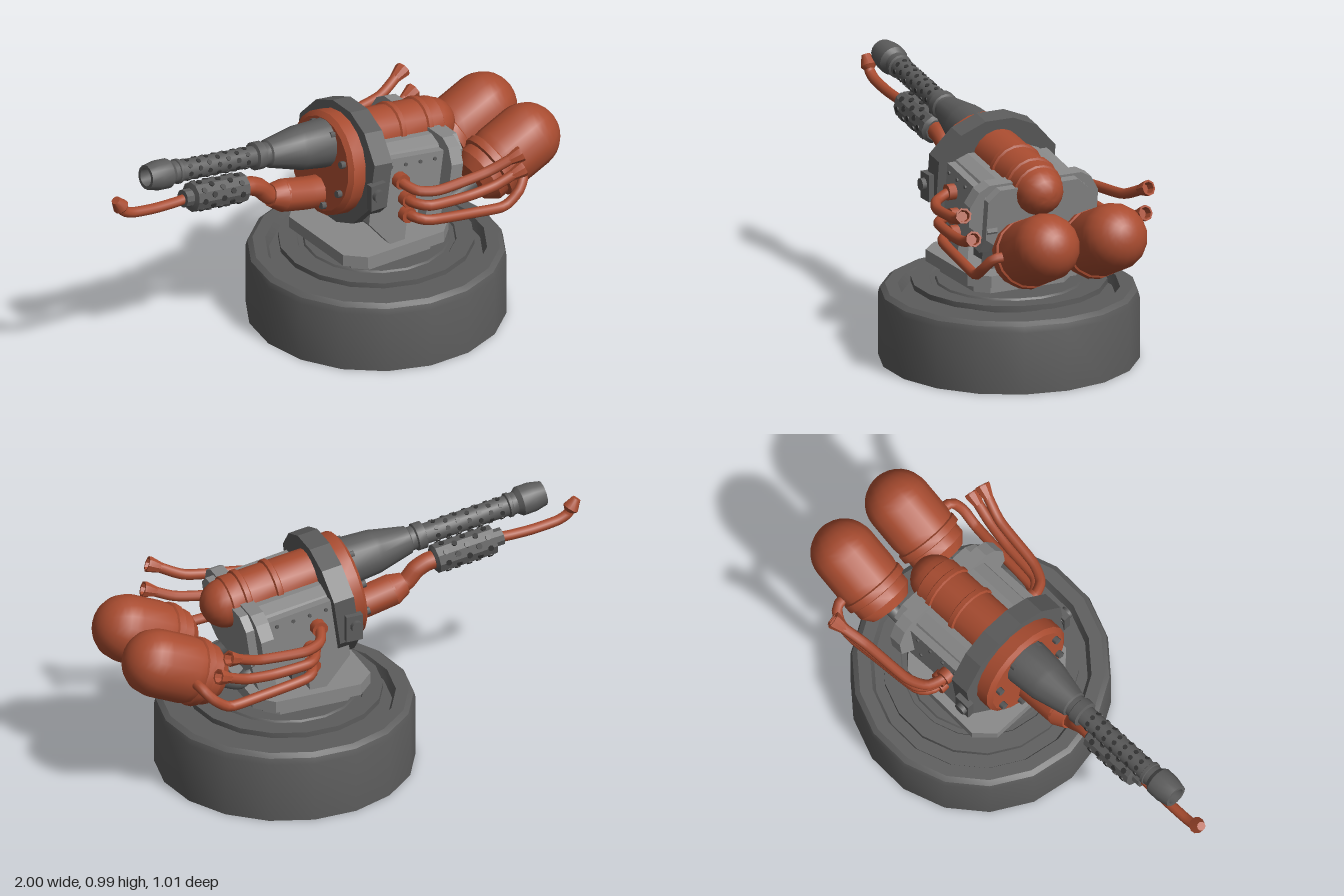
import * as THREE from 'three';
import { toCreasedNormals } from 'three/addons/utils/BufferGeometryUtils.js';

const mat = (name, color) => Object.assign(new THREE.MeshStandardMaterial({ color }), { name });
const V = (x, y, z = 0) => new THREE.Vector3(x, y, z);
const UP = V(0, 1, 0);

export function createModel() {
  const rust = mat('rust orange', 0xa94c30);
  const steel = mat('light steel', 0x888888);
  const dark = mat('dark steel', 0x5c5c5c);
  const hole = mat('hole black', 0x363636);

  const model = new THREE.Group();
  const add = (parent, name, geo, material) => {
    const m = new THREE.Mesh(geo, material);
    m.name = name;
    parent.add(m);
    return m;
  };
  // Turned part from [radius, height] pairs, bottom to top
  const turned = (pts, segs = 16, start = 0) => toCreasedNormals(
    new THREE.LatheGeometry(pts.map(p => new THREE.Vector2(...p)), segs, start), 0.6);
  // The same, with its axis along +x
  const turnedX = (pts, segs) => turned(pts, segs).rotateZ(-Math.PI / 2);
  const outline = pts => new THREE.Shape(pts.map(p => new THREE.Vector2(...p)));
  const extrude = (pts, depth) => new THREE.ExtrudeGeometry(outline(pts), { depth, bevelEnabled: false });
  // Symmetric half outline [z, y] (top to bottom) extruded along x
  const prismX = (half, x0, x1) => extrude(
    [...half, ...half.slice().reverse().map(([a, b]) => [-a, b])].reverse(), x1 - x0)
    .rotateY(Math.PI / 2).translate(x0, 0, 0);
  const tube = (pts, r) => new THREE.TubeGeometry(
    new THREE.CatmullRomCurve3(pts, false, 'catmullrom', 0.35), 28, r, 10);
  const aim = (mesh, from, dir) => {
    mesh.position.copy(from);
    mesh.quaternion.setFromUnitVectors(UP, dir.clone().normalize());
    return mesh;
  };

  // Round base with a recessed top, turntable and pedestal
  const base = new THREE.Group();
  base.name = 'base';
  base.position.x = 0.255;
  model.add(base);
  add(base, 'baseDrum', turned([[0, 0], [0.512, 0], [0.512, 0.25], [0.505, 0.275], [0.485, 0.29],
    [0.435, 0.29], [0.42, 0.25], [0, 0.25]], 18, Math.PI / 2), dark);
  add(base, 'turntableHub', turned([[0.24, 0.25], [0.24, 0.302]], 18, Math.PI / 2), dark);
  add(base, 'turntable', turned([[0, 0.3], [0.385, 0.3], [0.385, 0.322], [0.315, 0.322], [0.31, 0.314],
    [0.29, 0.314], [0.285, 0.322], [0, 0.322]], 18, Math.PI / 2), dark);
  const slab = (hx, hz, c, y0, y1) => extrude([[hx, hz - c], [hx - c, hz], [c - hx, hz], [-hx, hz - c],
    [-hx, c - hz], [c - hx, -hz], [hx - c, -hz], [hx, c - hz]], y1 - y0)
    .rotateX(-Math.PI / 2).translate(-0.035, y0, 0);
  add(base, 'pedestal', slab(0.195, 0.21, 0.05, 0.32, 0.365), steel);
  add(base, 'pedestalPlate', slab(0.25, 0.255, 0.07, 0.362, 0.41), steel);

  // Side cheeks, pivots and small brackets
  for (const s of [1, -1]) {
    const cheek = extrude([[0.1, 0.8], [0.07, 0.53], [0.17, 0.41], [0.24, 0.41], [0.25, 0.49],
      [0.3, 0.53], [0.43, 0.5], [0.5, 0.6], [0.48, 0.74]], 0.045);
    add(model, 'sideCheek', cheek.translate(0, 0, s * 0.195 - 0.0225), steel);
    const foot = extrude([[0.36, 0.42], [0.44, 0.43], [0.47, 0.54], [0.39, 0.54]], 0.05);
    add(model, 'rearBracket', foot.translate(0, 0, s * 0.15 - 0.025), steel);
    add(model, 'pivotPin', new THREE.CylinderGeometry(0.025, 0.025, 0.05, 10)
      .rotateX(Math.PI / 2).translate(0.07, 0.69, s * 0.27), dark);
    add(model, 'pivotLug', new THREE.BoxGeometry(0.07, 0.11, 0.03).translate(0.075, 0.68, s * 0.262), dark);
    add(model, 'tankSupport', tube([V(0.4, 0.53, s * 0.1), V(0.5, 0.46, s * 0.13), V(0.65, 0.53, s * 0.15)], 0.03), dark);
  }
  add(model, 'centrePost', new THREE.BoxGeometry(0.09, 0.2, 0.24).translate(0.23, 0.5, 0), dark);

  // Gun assembly along its own tilted axis
  const gun = new THREE.Group();
  gun.name = 'gun';
  gun.position.set(0.1, 0.806, 0);
  gun.rotation.z = -0.139;
  model.add(gun);
  add(gun, 'muzzle', turnedX([[0, -0.9], [0.033, -0.9], [0.036, -0.95], [0.049, -0.95], [0.06, -0.9],
    [0.06, -0.85], [0.045, -0.83], [0.045, -0.81], [0.05, -0.808], [0.05, -0.795], [0.04, -0.79]]), dark);
  add(gun, 'barrel', turnedX([[0.042, -0.84], [0.042, -0.42]]), dark);
  add(gun, 'barrelShroud', turnedX([[0.04, -0.44], [0.056, -0.435], [0.056, -0.4], [0.048, -0.395],
    [0.048, -0.375], [0.056, -0.37], [0.085, -0.24], [0.09, -0.22], [0.1, -0.08]]), dark);
  // Vent holes in staggered rows
  const vents = (r, y, x0, step, count, rows, size) => {
    for (let i = 0; i < count; i++) for (let j = 0; j < rows; j++) {
      const a = (j + (i % 2) / 2) / rows * Math.PI * 2;
      const vent = add(gun, 'ventHole', new THREE.CylinderGeometry(size, size, 0.008, 8), hole);
      const out = V(0, Math.cos(a), Math.sin(a));
      aim(vent, out.clone().multiplyScalar(r - 0.002).add(V(x0 + i * step, y)), out);
    }
  };
  vents(0.042, 0, -0.76, 0.046, 7, 8, 0.01);

  // Front flange with bolts, and the frame ring behind it
  add(gun, 'frontFlange', turnedX([[0, -0.1], [0.19, -0.1], [0.21, -0.085], [0.21, -0.02], [0, -0.02]], 20)
    .translate(0, -0.09, 0), rust);
  for (let i = 0; i < 8; i++) {
    const a = (i + 0.5) * Math.PI / 4;
    add(gun, 'flangeBolt', new THREE.CylinderGeometry(0.015, 0.015, 0.03, 6).rotateZ(Math.PI / 2)
      .translate(-0.105, -0.09 + 0.165 * Math.cos(a), 0.165 * Math.sin(a)), dark);
  }
  add(gun, 'frameRing', prismX([[0.06, 0.145], [0.165, 0.1], [0.255, 0], [0.255, -0.19],
    [0.165, -0.29], [0.06, -0.33]], -0.03, 0.055), dark);

  // Receiver body and rear frame
  add(gun, 'receiver', prismX([[0.13, 0.02], [0.18, 0], [0.205, -0.05], [0.205, -0.18],
    [0.12, -0.26]], 0.05, 0.38), steel);
  add(gun, 'rearFrame', prismX([[0.2, 0.035], [0.245, 0.01], [0.28, -0.05], [0.28, -0.13],
    [0.2, -0.2]], 0.33, 0.385), steel);
  add(gun, 'rearFrameStep', prismX([[0.17, 0.025], [0.22, -0.02], [0.22, -0.18], [0.14, -0.24]], 0.38, 0.42), steel);
  for (const s of [1, -1]) for (const [x, y] of [[0.08, -0.04], [0.15, -0.04], [0.22, -0.04], [0.29, -0.04], [0.29, -0.17]])
    add(gun, 'bodyRivet', new THREE.CylinderGeometry(0.008, 0.008, 0.012, 6).rotateX(Math.PI / 2)
      .translate(x, y, s * 0.218), dark);

  // Upper tank with raised bands and a domed end
  const dome = (r, x, n = 6) => Array.from({ length: n + 1 }, (_, i) =>
    [r * Math.cos(i / n * Math.PI / 2), x + r * Math.sin(i / n * Math.PI / 2)]);
  add(gun, 'upperTank', turnedX([[0.105, 0.03], [0.105, 0.2], [0.113, 0.205], [0.113, 0.225], [0.105, 0.23],
    [0.105, 0.33], [0.113, 0.335], [0.113, 0.355], [0.105, 0.36], [0.105, 0.41], ...dome(0.098, 0.415)], 18), rust);

  // Lower igniter: feed arm, vented muff, hose and nozzle
  add(gun, 'igniterMuff', turnedX([[0, -0.755], [0.036, -0.755], [0.036, -0.72], [0.06, -0.715],
    [0.06, -0.47], [0.045, -0.46], [0, -0.46]], 10).translate(0, -0.127, 0), dark);
  vents(0.06, -0.127, -0.685, 0.045, 5, 8, 0.012);
  add(model, 'feedArm', tube([V(0.02, 0.605), V(-0.08, 0.62), V(-0.2, 0.648)], 0.066), rust);
  aim(add(model, 'feedCone', turned([[0.066, 0], [0.045, 0.06], [0, 0.06]]), rust), V(-0.195, 0.647), V(-0.9, 0.3));
  add(model, 'feedElbow', tube([V(-0.2, 0.648), V(-0.26, 0.672), V(-0.3, 0.715), V(-0.345, 0.738), V(-0.4, 0.748)], 0.038), rust);
  add(model, 'igniterHose', tube([V(-0.63, 0.782), V(-0.7, 0.78), V(-0.8, 0.785), V(-0.9, 0.8), V(-0.945, 0.82), V(-0.96, 0.845)], 0.021), rust);
  aim(add(model, 'igniterNozzle', turned([[0.02, 0], [0.033, 0.015], [0.018, 0.06], [0, 0.06]], 10), rust),
    V(-0.95, 0.832), V(-0.55, 0.8));

  // Twin rear tanks
  const tankProfile = [[0, -0.28], [0.09, -0.28], [0.122, -0.24], [0.122, -0.2], [0.137, -0.195],
    [0.137, -0.165], [0.13, -0.16], [0.135, -0.13], ...dome(0.135, 0, 8)];
  // Pipes: path, and whether the end is an open flared exhaust
  const pipes = [
    [[[0.21, 0.69, 0.19], [0.21, 0.685, 0.25], [0.24, 0.67, 0.31], [0.32, 0.665, 0.345], [0.52, 0.685, 0.365], [0.63, 0.73, 0.395]], true],
    [[[0.24, 0.6, 0.19], [0.24, 0.6, 0.27], [0.29, 0.595, 0.325], [0.45, 0.59, 0.34], [0.57, 0.605, 0.355], [0.66, 0.64, 0.37]], true],
    [[[0.24, 0.53, 0.19], [0.25, 0.53, 0.27], [0.3, 0.52, 0.31], [0.5, 0.495, 0.325], [0.63, 0.485, 0.335],
      [0.7, 0.53, 0.335], [0.74, 0.575, 0.31], [0.75, 0.58, 0.25]], false],
  ];
  for (const s of [1, -1]) {
    aim(add(model, 'rearTank', turned(tankProfile, 16), rust), V(0.865, 0.635, s * 0.148), V(0.91, 0.415));
    for (const [path, open] of pipes) {
      const pts = path.map(([x, y, z]) => V(x, y, z * s));
      add(model, 'exhaustPipe', tube(pts, 0.021), rust);
      add(model, 'pipeCollar', new THREE.CylinderGeometry(0.033, 0.033, 0.04, 10).rotateX(Math.PI / 2)
        .translate(pts[0].x, pts[0].y, s * 0.23), rust);
      if (!open) continue;
      const end = pts[pts.length - 1];
      aim(add(model, 'pipeFlare', turned([[0.02, -0.02], [0.032, 0.03], [0.032, 0.04], [0.024, 0.04],
        [0.02, 0.01], [0, 0.01]], 8), rust), end, end.clone().sub(pts[pts.length - 2]));
    }
  }
  return model;
}
